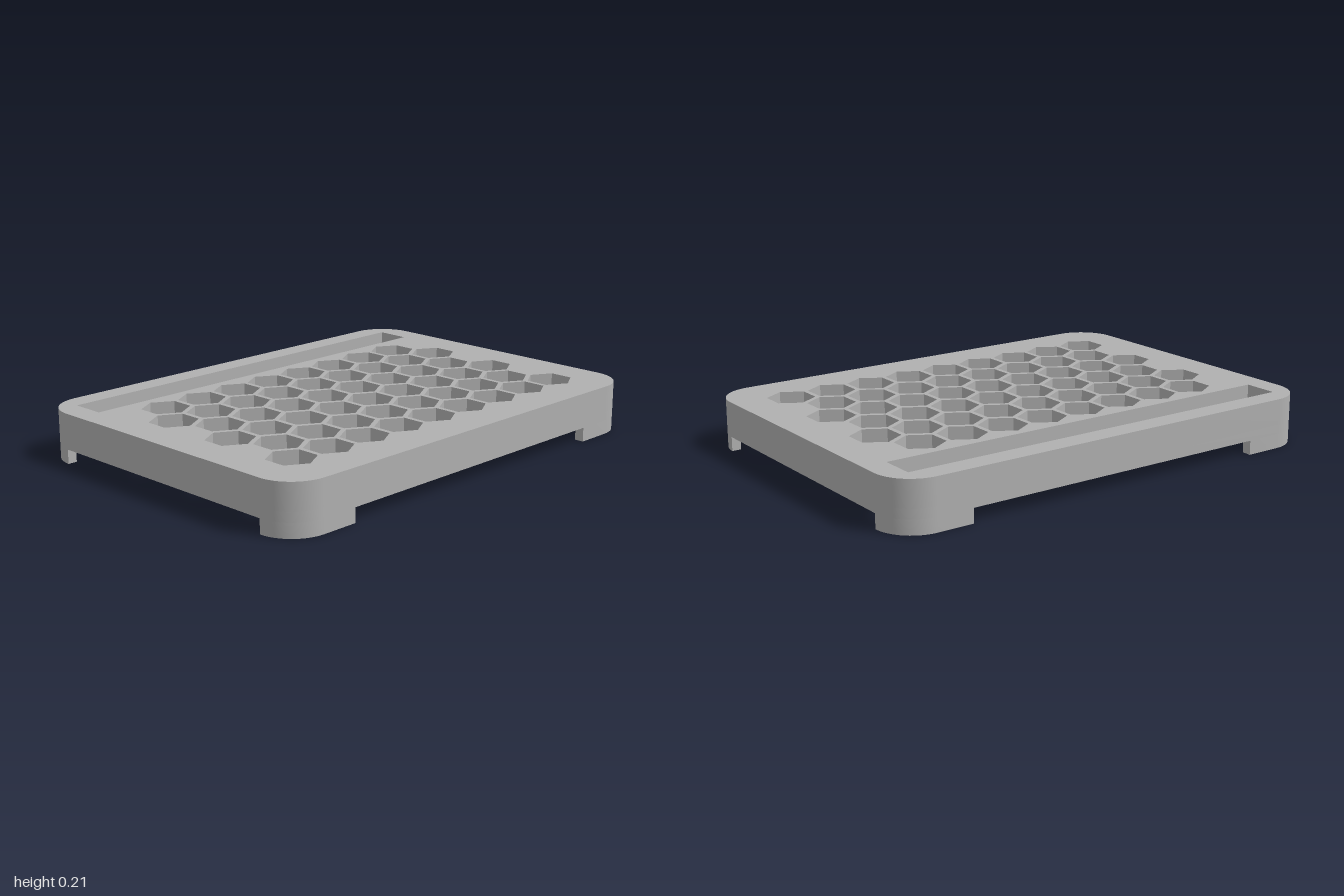
import * as THREE from 'three';
import { toCreasedNormals } from 'three/addons/utils/BufferGeometryUtils.js';

const HALF_X = 1, HALF_Z = 0.725, RADIUS = 0.16, WALL = 0.04;
const SKIRT_Y = 0.06, PLATE_Y = 0.1, TOP_Y = 0.21;

export function createModel() {
  const group = new THREE.Group();
  const grey = new THREE.MeshStandardMaterial({ color: 0xb0b0b0 });
  grey.name = 'grey';

  // Extrudes a plan shape (drawn with y = -z) between two heights
  const addSlab = (name, shape, y0, y1) => {
    const geo = new THREE.ExtrudeGeometry(shape, { depth: y1 - y0, bevelEnabled: false, curveSegments: 12 });
    geo.rotateX(-Math.PI / 2);
    geo.translate(0, y0, 0);
    const mesh = new THREE.Mesh(toCreasedNormals(geo, 0.6), grey);
    mesh.name = name;
    group.add(mesh);
  };

  // Rounded rectangle, shrunk by an inset
  const outline = (inset, Type = THREE.Shape) => {
    const x = HALF_X - RADIUS, z = HALF_Z - RADIUS, r = RADIUS - inset, q = Math.PI / 2;
    const path = new Type();
    path.absarc(x, z, r, 0, q);
    path.absarc(-x, z, r, q, 2 * q);
    path.absarc(-x, -z, r, 2 * q, 3 * q);
    path.absarc(x, -z, r, 3 * q, 4 * q);
    path.closePath();
    return path;
  };

  // Centres of the staggered hexagonal holes
  const cells = [];
  for (let row = 0; row < 6; row++) {
    const count = row % 2 ? 9 : 8;
    for (let i = 0; i < count; i++) cells.push([(i - (count - 1) / 2) * 0.191, -0.35 + row * 0.166]);
  }

  // Top plate with slot and hexagonal holes
  const plate = outline(0);
  plate.holes.push(new THREE.Path([
    [-0.9, 0.63], [0.9, 0.63], [0.9, 0.485], [-0.9, 0.485],
  ].map(([x, y]) => new THREE.Vector2(x, y))));
  for (const [x, z] of cells) {
    const points = [];
    for (let k = 0; k < 6; k++) {
      const a = Math.PI / 6 + k * Math.PI / 3;
      points.push(new THREE.Vector2(x + 0.099 * Math.cos(a), -z + 0.099 * Math.sin(a)));
    }
    plate.holes.push(new THREE.Path(points));
  }
  addSlab('topPlate', plate, PLATE_Y, TOP_Y);

  // Skirt wall around the underside
  const skirt = outline(0);
  skirt.holes.push(outline(WALL, THREE.Path));
  addSlab('skirt', skirt, SKIRT_Y, PLATE_Y);

  // Curved corner feet continuing the skirt
  for (const sx of [-1, 1]) for (const sz of [-1, 1]) {
    const cx = HALF_X - RADIUS, cz = HALF_Z - RADIUS;
    const arc = (r) => Array.from({ length: 13 }, (_, i) => {
      const a = (i / 12) * Math.PI / 2;
      return [cx + r * Math.cos(a), cz + r * Math.sin(a)];
    });
    const points = [
      ...arc(RADIUS), [0.685, HALF_Z], [0.685, HALF_Z - WALL], ...arc(RADIUS - WALL).reverse(),
    ].map(([x, z]) => new THREE.Vector2(sx * x, sz * z));
    addSlab('cornerFoot', new THREE.Shape(points), 0, SKIRT_Y);
  }

  // Small ring on three spokes at the bottom of every hole
  const ringShape = new THREE.Shape().absarc(0, 0, 0.036, 0, Math.PI * 2);
  ringShape.holes.push(new THREE.Path().absarc(0, 0, 0.02, 0, Math.PI * 2));
  const ringRaw = new THREE.ExtrudeGeometry(ringShape, { depth: 0.04, bevelEnabled: false, curveSegments: 16 });
  ringRaw.rotateX(-Math.PI / 2);
  const ringGeo = toCreasedNormals(ringRaw, 0.6);
  const spokeGeo = new THREE.BoxGeometry(0.056, 0.04, 0.01);
  spokeGeo.translate(0.061, 0.02, 0);
  for (const [x, z] of cells) {
    const holder = new THREE.Group();
    holder.name = 'ringHolder';
    holder.position.set(x, 0.075, z);
    const ring = new THREE.Mesh(ringGeo, grey);
    ring.name = 'ring';
    holder.add(ring);
    for (let k = 0; k < 3; k++) {
      const spoke = new THREE.Mesh(spokeGeo, grey);
      spoke.name = 'spoke';
      spoke.rotation.y = k * Math.PI * 2 / 3;
      holder.add(spoke);
    }
    group.add(holder);
  }
  return group;
}
